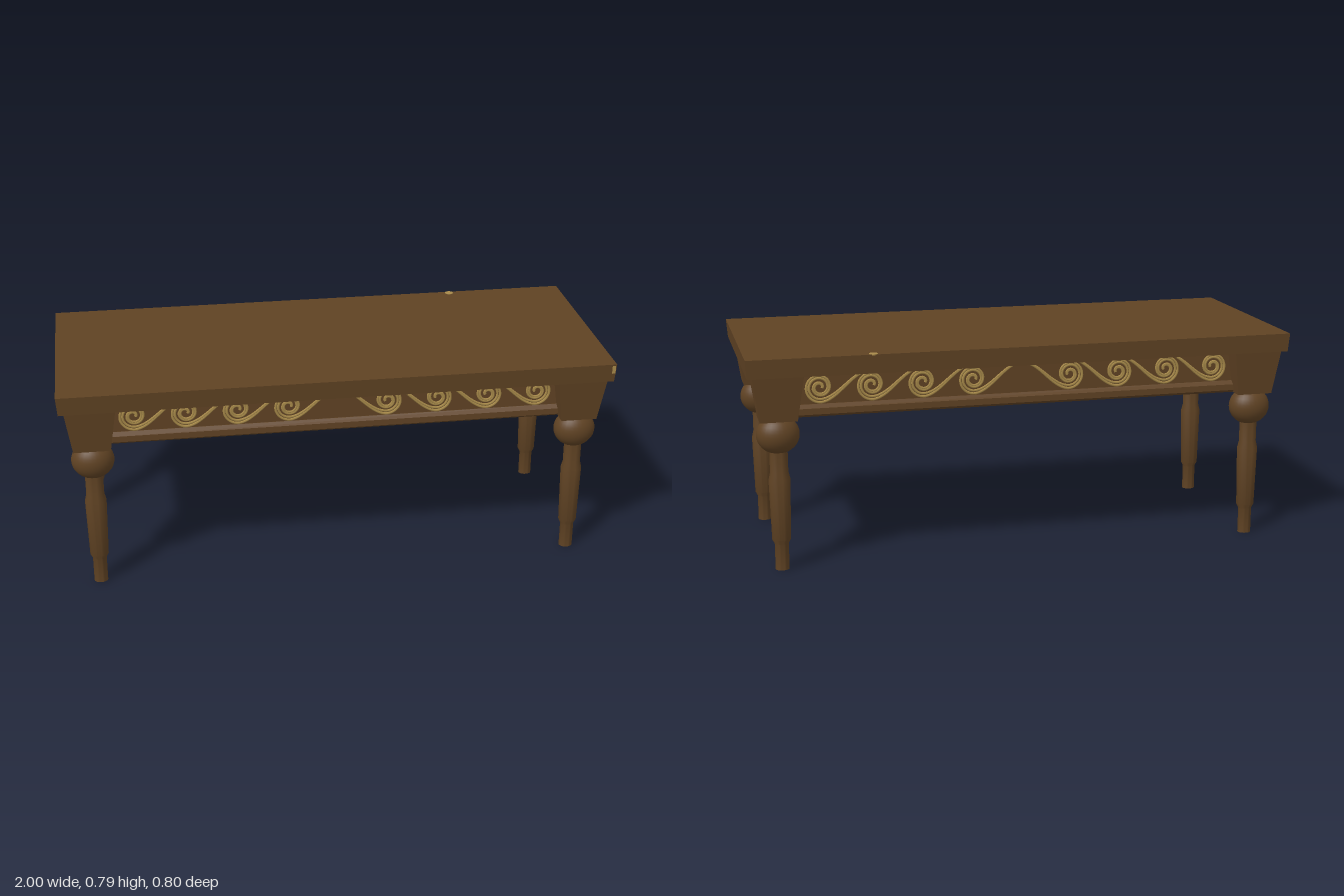
import * as THREE from 'three';
import { toCreasedNormals } from 'three/addons/utils/BufferGeometryUtils.js';

const wood = new THREE.MeshStandardMaterial({ color: 0x5f4223 });
wood.name = 'brown wood';
const gilt = new THREE.MeshStandardMaterial({ color: 0xa88a4a });
gilt.name = 'dull gold';

function add(parent, name, geometry, material, x = 0, y = 0, z = 0) {
  const mesh = new THREE.Mesh(geometry, material);
  mesh.name = name;
  mesh.position.set(x, y, z);
  parent.add(mesh);
  return mesh;
}

// Box between y0 and y1 whose lower half-sizes differ from its upper ones
function taperedBox(y0, y1, bottomX, bottomZ, topX, topZ) {
  const g = new THREE.BoxGeometry(2, 2, 2);
  const p = g.attributes.position;
  for (let i = 0; i < p.count; i++) {
    const top = p.getY(i) > 0;
    p.setXYZ(i, p.getX(i) * (top ? topX : bottomX), top ? y1 : y0, p.getZ(i) * (top ? topZ : bottomZ));
  }
  const flat = g.toNonIndexed();
  flat.computeVertexNormals();
  return flat;
}

// Scroll strand: falls from the crest at the previous curl, passes under and curls inward
function scrollStrand(cx, side, outer) {
  const cy = 0.66;
  const pts = [];
  const start = cx - 0.18;
  for (let i = 0; i < 9; i++) {
    const t = i / 9;
    const fall = (1 + Math.cos(Math.PI * t)) / 2;
    pts.push(new THREE.Vector3(side * (start + 0.18 * t), cy - outer + fall * (outer + 0.052), 0));
  }
  for (let i = 0; i <= 28; i++) {
    const t = i / 28;
    const a = -Math.PI / 2 + t * Math.PI * 3.6;
    const r = outer * (1 - 0.82 * t);
    pts.push(new THREE.Vector3(side * (cx + r * Math.cos(a)), cy + r * Math.sin(a), 0));
  }
  return new THREE.TubeGeometry(new THREE.CatmullRomCurve3(pts), 80, 0.0048, 5);
}

function makeLeg() {
  const leg = new THREE.Group();
  add(leg, 'legBlock', taperedBox(0.555, 0.72, 0.066, 0.053, 0.09, 0.075), wood);
  const ball = add(leg, 'legBall', new THREE.SphereGeometry(1, 28, 18), wood, 0, 0.5, 0);
  ball.scale.set(0.077, 0.07, 0.062);
  const profile = [
    [0, 0], [0.021, 0], [0.021, 0.097], [0.028, 0.113], [0.0325, 0.335], [0.027, 0.362], [0.027, 0.46],
  ].map(([r, y]) => new THREE.Vector2(r, y));
  const post = add(leg, 'legPost', toCreasedNormals(new THREE.LatheGeometry(profile, 24), 0.6), wood);
  post.scale.x = 1.2;
  return leg;
}

export function createModel() {
  const table = new THREE.Group();
  table.name = 'table';

  // Top and the closed apron below it
  add(table, 'tableTop', taperedBox(0.72, 0.788, 0.995, 0.395, 1, 0.4), wood);
  add(table, 'apron', taperedBox(0.58, 0.725, 0.87, 0.3, 0.87, 0.3), wood);
  add(table, 'mouldingSlope', taperedBox(0.587, 0.6, 0.885, 0.315, 0.872, 0.302), wood);
  add(table, 'mouldingBand', taperedBox(0.565, 0.587, 0.885, 0.315, 0.885, 0.315), wood);
  add(table, 'mouldingBase', taperedBox(0.555, 0.565, 0.872, 0.302, 0.885, 0.315), wood);

  // Four turned legs
  for (const x of [-1, 1]) {
    for (const z of [-1, 1]) {
      const leg = makeLeg();
      leg.name = (z > 0 ? 'front' : 'back') + (x > 0 ? 'Left' : 'Right') + 'Leg';
      leg.position.set(x * 0.887, 0, z * 0.305);
      table.add(leg);
    }
  }

  // Running scrolls on both long sides, mirrored about the middle
  for (const face of [1, -1]) {
    const frieze = new THREE.Group();
    frieze.name = face > 0 ? 'frontScrolls' : 'backScrolls';
    frieze.position.z = face * 0.303;
    if (face < 0) frieze.rotation.y = Math.PI;
    for (const side of [-1, 1]) {
      for (let i = 0; i < 4; i++) {
        for (const outer of [0.054, 0.043]) {
          add(frieze, 'scroll', scrollStrand(0.18 + i * 0.185, side, outer), gilt);
        }
      }
    }
    table.add(frieze);
  }

  // Small gilt inlays on the top's rim
  add(table, 'frontInlay', new THREE.BoxGeometry(0.012, 0.03, 0.006), gilt, 0.99, 0.768, 0.398);
  add(table, 'rearInlay', new THREE.CylinderGeometry(0.016, 0.016, 0.004, 12), gilt, 0.555, 0.7875, -0.386);
  return table;
}
